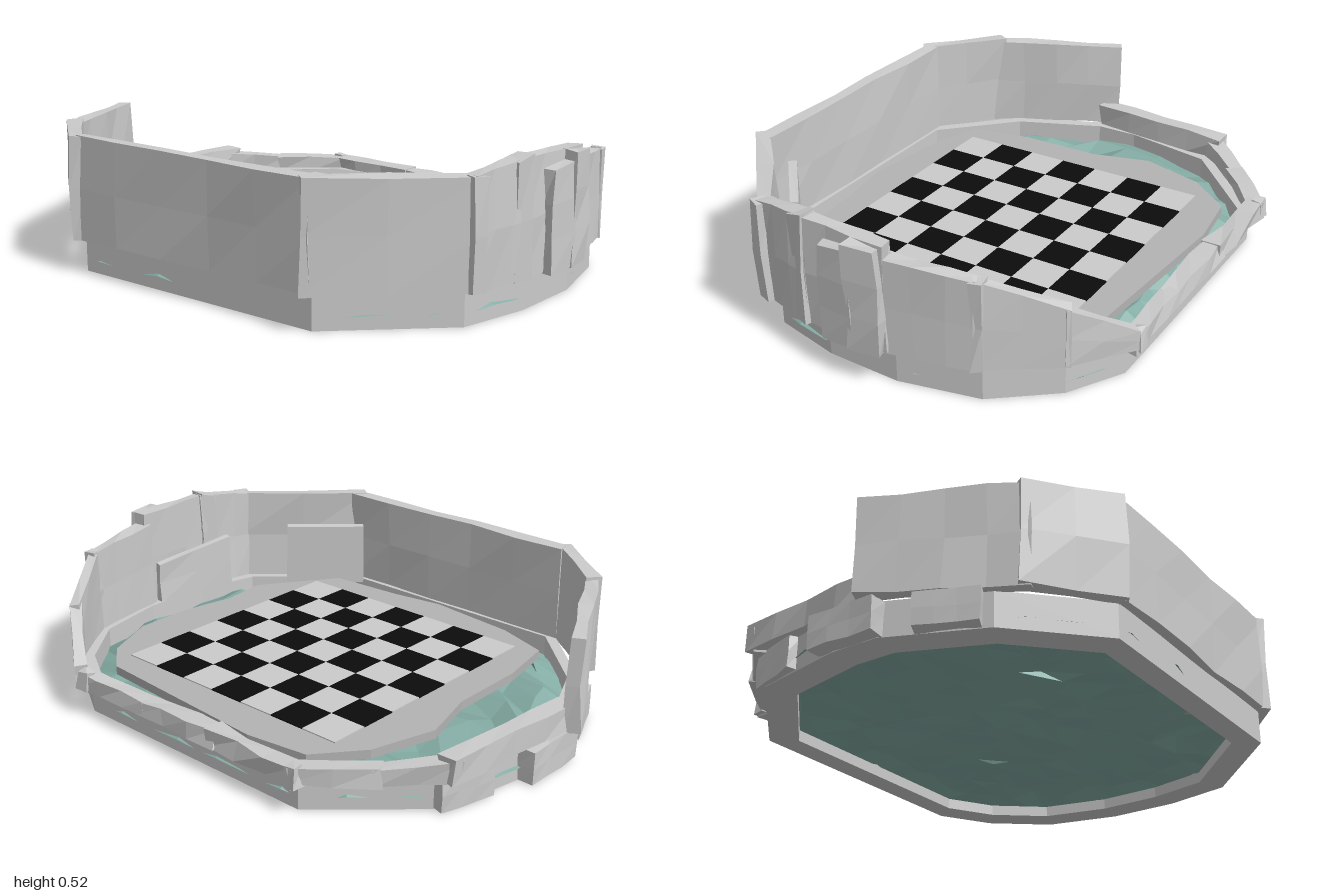
import * as THREE from 'three';

const stone = new THREE.MeshStandardMaterial({ color: 0xcccccc, flatShading: true, side: THREE.DoubleSide });
const paving = new THREE.MeshStandardMaterial({ color: 0xb4b4b4, flatShading: true });
const black = new THREE.MeshStandardMaterial({ color: 0x0c0c0c });
const teal = new THREE.MeshStandardMaterial({ color: 0x85ada5, flatShading: true, side: THREE.DoubleSide });

// repeatable noise in -1..1 from a position, so coincident corners move together
function noise(x, y, z, seed) {
  const [a, b, c] = [x, y, z].map(v => Math.round(v * 1000));
  const s = Math.sin(a * 0.129 + b * 0.782 + c * 0.377 + seed * 3.17) * 43758.5453;
  return (s - Math.floor(s)) * 2 - 1;
}

function roughen(geo, amount, amountY = amount) {
  const p = geo.attributes.position;
  for (let i = 0; i < p.count; i++) {
    const q = [p.getX(i), p.getY(i), p.getZ(i)];
    p.setXYZ(i, q[0] + noise(...q, 1) * amount, q[1] + noise(...q, 2) * amountY, q[2] + noise(...q, 3) * amount);
  }
  geo.computeVertexNormals();
  return geo;
}

function add(parent, name, geo, mat = stone) {
  const mesh = new THREE.Mesh(geo, mat);
  mesh.name = name;
  parent.add(mesh);
}

// upright stone slab from a to b ([x, z, top]) with hewn faces
function slab(parent, name, a, b, { y0 = 0.12, thick = 0.05, rough = 0.008, n = 3, rows = 2 } = {}) {
  const over = 0.012;
  const dx = b[0] - a[0], dz = b[1] - a[1], len = Math.hypot(dx, dz);
  const ux = dx / len, uz = dz / len;
  const geo = new THREE.BoxGeometry(1, 1, 1, n, rows, 1);
  const p = geo.attributes.position;
  for (let i = 0; i < p.count; i++) {
    const t = p.getX(i) + 0.5, s = t * (len + 2 * over) - over, w = p.getZ(i) * thick;
    const top = a[2] + (b[2] - a[2]) * t;
    p.setXYZ(i, a[0] + ux * s - uz * w, y0 + (p.getY(i) + 0.5) * (top - y0), a[1] + uz * s + ux * w);
  }
  add(parent, name, roughen(geo, rough, 0.004));
}

function chain(parent, name, pts, opts) {
  for (let i = 0; i + 1 < pts.length; i++) slab(parent, name, pts[i], pts[i + 1], opts);
}

const outline = [
  [-0.715, 0.5], [-0.4, 0.84], [-0.15, 0.9], [0.12, 0.91], [0.4, 0.85], [0.6, 0.69], [0.71, 0.5],
  [0.71, -0.5], [0.4, -0.84], [0.05, -0.91], [-0.12, -0.91], [-0.45, -0.77], [-0.715, -0.5],
];

// distance from the centre to the outline in direction (cx, cz)
function reach(cx, cz) {
  let m = 0;
  outline.forEach(([x, z], i) => {
    const [x2, z2] = outline[(i + 1) % outline.length];
    const nx = z2 - z, nz = x - x2;
    m = Math.max(m, (nx * cx + nz * cz) / (nx * x + nz * z));
  });
  return 1 / m;
}

function flatShape(pts, scale = 1, Type = THREE.Shape) {
  return new Type(pts.map(([x, z]) => new THREE.Vector2(x * scale, -z * scale)));
}

function plate(shape, y, depth) {
  return new THREE.ExtrudeGeometry(shape, { depth, bevelEnabled: false }).rotateX(-Math.PI / 2).translate(0, y, 0);
}

function ring(outer, inner, y, depth) {
  const shape = flatShape(outline, outer);
  shape.holes.push(flatShape(outline, inner, THREE.Path));
  return plate(shape, y, depth);
}

export function createModel() {
  const model = new THREE.Group();
  model.name = 'walledArena';

  // foundation: thin upright rim on a wider footing
  add(model, 'foundationRim', ring(1, 0.955, 0, 0.122));
  add(model, 'footing', ring(0.96, 0.88, 0, 0.04));
  slab(model, 'foundationBlock', [-0.13, -0.93, 0.12], [0.1, -0.93, 0.12], { y0: 0.004, thick: 0.06, rough: 0.003 });
  slab(model, 'foundationBlock', [-0.42, -0.81, 0.12], [-0.25, -0.88, 0.12], { y0: 0.004, thick: 0.05, rough: 0.003 });
  slab(model, 'foundationBlock', [0.25, -0.88, 0.12], [0.42, -0.83, 0.12], { y0: 0.004, thick: 0.04, rough: 0.003 });

  // uneven ground sheet: a square grid rounded to the outline, its edge breaking through the rim
  // (an odd number of cells keeps every corner off the centre, where no direction exists)
  const ground = new THREE.PlaneGeometry(2, 2, 15, 15).rotateX(-Math.PI / 2);
  const g = ground.attributes.position;
  for (let i = 0; i < g.count; i++) {
    const x = g.getX(i), z = g.getZ(i);
    const r = Math.hypot(x, z), m = Math.max(Math.abs(x), Math.abs(z));
    const h = noise(x, 0, z, 5), edge = m > 0.99;
    const k = reach(x / r, z / r) * m * (edge ? 1 + h * 0.016 : 1);
    const height = edge ? 0.04 + h * 0.012 : m > 0.7 ? 0.085 + h * 0.025 : 0.075 + h * 0.025;
    const shift = edge ? 0 : 0.018;
    g.setXYZ(i, x / r * k + noise(x, 0, z, 6) * shift, height, z / r * k + noise(x, 0, z, 7) * shift);
  }
  ground.computeVertexNormals();
  add(model, 'ground', ground, teal);

  // paved floor
  const floor = [
    [-0.53, -0.55], [-0.3, -0.59], [0, -0.59], [0.22, -0.65], [0.46, -0.58], [0.62, -0.45], [0.65, -0.22],
    [0.6, 0.5], [0.5, 0.62], [0.3, 0.71], [0.08, 0.71], [-0.12, 0.67], [-0.3, 0.69], [-0.59, 0.49],
    [-0.61, 0.2], [-0.64, 0], [-0.6, -0.35],
  ];
  add(model, 'floor', plate(flatShape(floor), 0.105, 0.032), paving);

  // chequered tiles
  const tiles = new THREE.Group();
  tiles.name = 'tiles';
  model.add(tiles);
  const size = 1 / 7;
  for (let r = 0; r < 7; r++) for (let c = 0; c < 7; c++) {
    const dark = (r + c) % 2 === 1;
    const tile = new THREE.BoxGeometry(size, 0.006, size);
    tile.translate(-0.495 + (c + 0.5) * size, 0.138, -0.468 + (r + 0.5) * size);
    add(tiles, dark ? 'darkTile' : 'lightTile', tile, dark ? black : stone);
  }

  // tall walls along the right side (-x) and its two corners
  const walls = new THREE.Group();
  walls.name = 'walls';
  model.add(walls);
  slab(walls, 'sideWall', [-0.72, 0.5, 0.48], [-0.72, -0.5, 0.48], { rough: 0.007, n: 5 });
  slab(walls, 'frontCornerWall', [-0.74, 0.49, 0.48], [-0.41, 0.865, 0.48], { n: 2 });
  slab(walls, 'backCornerWall', [-0.74, -0.5, 0.48], [-0.53, -0.75, 0.48], { n: 2 });
  slab(walls, 'backWall', [-0.55, -0.735, 0.47], [-0.09, -0.965, 0.46], { n: 4, thick: 0.05 });

  // front wall, falling away to the left (+x)
  chain(walls, 'frontWall', [[-0.41, 0.865, 0.48], [-0.2, 0.91, 0.51], [0.1, 0.925, 0.5]], {});
  slab(walls, 'frontWall', [0.1, 0.915, 0.455], [0.39, 0.86, 0.43]);
  chain(walls, 'slopingWall', [[0.39, 0.86, 0.435], [0.61, 0.7, 0.325], [0.74, 0.52, 0.19]], { n: 2, thick: 0.04, rough: 0.004 });

  // buttresses and joints on the front
  slab(walls, 'buttress', [-0.1, 0.955, 0.455], [0, 0.96, 0.47], { thick: 0.045, n: 1, rows: 3 });
  slab(walls, 'buttress', [0.01, 0.965, 0.5], [0.095, 0.96, 0.49], { thick: 0.045, n: 1, rows: 3 });
  slab(walls, 'joint', [-0.425, 0.875, 0.48], [-0.4, 0.885, 0.48], { thick: 0.05, n: 1 });
  slab(walls, 'joint', [-0.24, 0.905, 0.5], [-0.2, 0.915, 0.515], { thick: 0.065, n: 1 });
  slab(walls, 'joint', [0.385, 0.865, 0.43], [0.4, 0.86, 0.435], { thick: 0.045, n: 1 });

  // inner panels leaning on the front corner
  slab(walls, 'innerPanel', [-0.665, 0.44, 0.36], [-0.47, 0.66, 0.36], { thick: 0.025, n: 1, rows: 1, rough: 0.003 });
  slab(walls, 'innerPanel', [-0.27, 0.835, 0.33], [0.05, 0.885, 0.28], { thick: 0.025, n: 2, rough: 0.004 });

  // low broken parapet on the open side and behind it
  chain(walls, 'lowSideWall', [[0.73, 0.52, 0.165], [0.715, 0.2, 0.15], [0.715, -0.15, 0.165], [0.73, -0.51, 0.165]],
    { y0: 0.1, thick: 0.06, rows: 1, rough: 0.012 });
  chain(walls, 'lowBackWall', [[0.73, -0.5, 0.165], [0.57, -0.7, 0.17], [0.4, -0.87, 0.19]],
    { y0: 0.11, thick: 0.06, n: 2, rows: 1, rough: 0.01 });
  slab(walls, 'fallenBeam', [0.43, -0.865, 0.21], [-0.11, -0.925, 0.21], { thick: 0.06, n: 4, rows: 1, rough: 0.009 });

  // loose stones at the open corners
  for (const z of [-0.51, 0.49]) {
    const rock = new THREE.BoxGeometry(0.045, 0.07, 0.05).translate(0.742, 0.14, z);
    add(walls, 'cornerStone', roughen(rock, 0.008));
  }
  return model;
}
